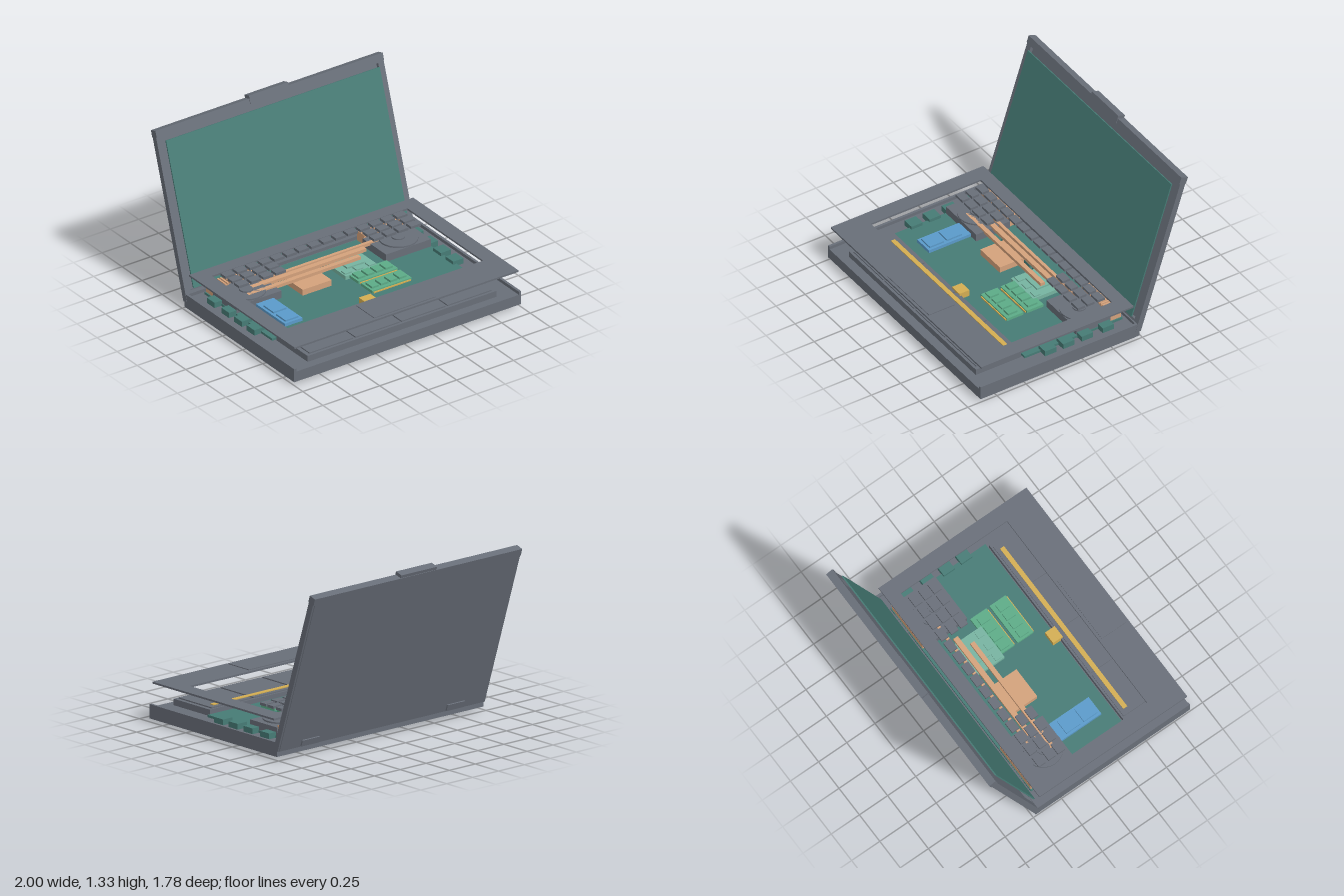
import * as THREE from 'three';

const mat = (name, color) => Object.assign(new THREE.MeshStandardMaterial({ color }), { name });
const grey = mat('casing grey', 0x686e78);
const teal = mat('board teal', 0x467b75);
const copper = mat('copper', 0xd3a17b);
const blue = mat('drive blue', 0x5a9aca);
const green = mat('memory green', 0x5cab87);
const mint = mat('chip mint', 0x76b3a0);
const yellow = mat('contact yellow', 0xd3ad52);

// Box given by its limits on each axis
function box(parent, name, m, [x0, x1], [y0, y1], [z0, z1]) {
  const mesh = new THREE.Mesh(new THREE.BoxGeometry(x1 - x0, y1 - y0, z1 - z0), m);
  mesh.position.set((x0 + x1) / 2, (y0 + y1) / 2, (z0 + z1) / 2);
  mesh.name = name;
  parent.add(mesh);
  return mesh;
}

function group(parent, name) {
  const g = new THREE.Group();
  g.name = name;
  parent.add(g);
  return g;
}

// Rectangular frame in the xy plane, extruded along z
function frame(name, [x0, x1, y0, y1], [a0, a1, b0, b1], depth) {
  const rect = (T, l, r, b, t) => {
    const p = new T();
    p.moveTo(l, b); p.lineTo(r, b); p.lineTo(r, t); p.lineTo(l, t); p.closePath();
    return p;
  };
  const s = rect(THREE.Shape, x0, x1, y0, y1);
  s.holes.push(rect(THREE.Path, a0, a1, b0, b1));
  const mesh = new THREE.Mesh(new THREE.ExtrudeGeometry(s, { depth, bevelEnabled: false }), grey);
  mesh.name = name;
  return mesh;
}

function buildBase(root) {
  const g = group(root, 'base');
  box(g, 'tray', grey, [-0.998, 0.998], [0.025, 0.107], [-0.478, 0.89]);
  box(g, 'rearWall', grey, [-0.978, 0.978], [0.107, 0.132], [-0.478, -0.45]);
  for (const s of [-1, 1]) {
    const side = (a, b) => (s > 0 ? [a, b] : [-b, -a]);
    box(g, 'sideWall', grey, side(0.978, 0.998), [0.107, 0.132], [-0.478, 0.89]);
    for (const z of [[0.715, 0.78], [-0.365, -0.3]]) box(g, 'foot', grey, side(0.72, 0.895), [0, 0.025], z);
    for (const z of [0.235, 0.08, -0.08, -0.26])
      box(g, 'port', teal, side(0.83, 0.92), [0.107, 0.15], [z - 0.048, z + 0.048]);
  }
}

function buildBattery(root) {
  const g = group(root, 'battery');
  box(g, 'batteryBody', grey, [-0.83, 0.83], [0.107, 0.155], [0.43, 0.82]);
  for (let i = 0; i < 4; i++) {
    const x = -0.8 + i * 0.405;
    box(g, 'batteryCell', grey, [x, x + 0.385], [0.155, 0.164], [0.445, 0.8]);
  }
  box(g, 'batteryStrip', yellow, [-0.755, 0.755], [0.164, 0.17], [0.475, 0.51]);
  box(g, 'batteryConnector', yellow, [-0.055, 0.045], [0.12, 0.176], [0.36, 0.445]);
}

function buildBoard(root) {
  const g = group(root, 'mainboard');
  box(g, 'board', teal, [-0.86, 0.86], [0.107, 0.125], [-0.42, 0.42]);

  // Storage drive
  box(g, 'drive', blue, [-0.685, -0.53], [0.125, 0.15], [-0.03, 0.33]);
  for (const z of [[0.035, 0.16], [0.19, 0.31]]) box(g, 'driveChip', blue, [-0.665, -0.55], [0.15, 0.163], z);

  // Memory modules
  for (const z of [-0.01, 0.16]) {
    box(g, 'memory', green, [0.105, 0.45], [0.13, 0.152], [z, z + 0.142]);
    box(g, 'memoryContacts', yellow, [0.115, 0.44], [0.132, 0.142], [z + 0.142, z + 0.15]);
    for (let i = 0; i < 4; i++) {
      const x = 0.122 + i * 0.08;
      box(g, 'memoryChip', green, [x, x + 0.062], [0.152, 0.168], [z + 0.035, z + 0.115]);
    }
  }

  // Graphics chip and its surrounding small chips
  box(g, 'graphicsPlate', mint, [0.07, 0.36], [0.125, 0.155], [-0.23, 0.02]);
  box(g, 'graphicsCore', mint, [0.14, 0.29], [0.155, 0.168], [-0.19, -0.06]);
  for (const x of [0.08, 0.18, 0.29]) box(g, 'graphicsMemory', mint, [x, x + 0.06], [0.155, 0.165], [-0.05, 0]);
  for (let i = 0; i < 7; i++)
    box(g, 'regulator', teal, [-0.36 + i * 0.1, -0.29 + i * 0.1], [0.125, 0.15], [-0.23, -0.18]);
}

function buildCooling(root) {
  const g = group(root, 'cooling');
  for (const s of [-1, 1]) {
    const side = (a, b) => (s > 0 ? [a, b] : [-b, -a]);
    box(g, 'fanHousing', grey, side(0.46, 0.855), [0.107, 0.185], [-0.32, -0.03]);
    const ring = new THREE.Mesh(new THREE.CylinderGeometry(0.145, 0.145, 0.012, 24), grey);
    ring.position.set(s * 0.67, 0.191, -0.175);
    ring.name = 'fanRing';
    const hub = new THREE.Mesh(new THREE.CylinderGeometry(0.05, 0.05, 0.01, 16), grey);
    hub.position.set(s * 0.67, 0.202, -0.175);
    hub.name = 'fanHub';
    g.add(ring, hub);
    box(g, 'finBlock', copper, side(0.475, 0.85), [0.125, 0.19], [-0.415, -0.325]);
    for (let i = 0; i < 16; i++)
      box(g, 'fin', copper, side(0.475 + i * 0.0241, 0.4885 + i * 0.0241), [0.19, 0.203], [-0.418, -0.322]);
  }
  box(g, 'processorPlate', copper, [-0.315, -0.06], [0.125, 0.172], [-0.2, 0.03]);
  // Heat pipes: x limits, z limits
  const pipes = [[[-0.6, 0.65], [-0.25, -0.225]], [[-0.7, 0.385], [-0.208, -0.168]], [[-0.7, 0.285], [-0.13, -0.095]]];
  for (const [x, z] of pipes) box(g, 'heatPipe', copper, x, [0.172, 0.197], z);
}

function buildDeck(root) {
  const g = group(root, 'keyboardDeck');
  const plate = frame('deckFrame', [-0.985, 0.985, -0.875, 0.435], [-0.86, 0.86, -0.612, 0.33], 0.014);
  plate.rotation.x = -Math.PI / 2;
  plate.position.y = 0.286;
  g.add(plate);
  box(g, 'trackpad', grey, [-0.27, 0.27], [0.3, 0.306], [0.635, 0.855]);
  // Full back row; the two nearer rows keep only the outer keys
  [-0.277, -0.19, -0.107].forEach((z, row) => {
    for (let i = -7; i <= 7; i++) {
      if (row > 0 && Math.abs(i) < 4) continue;
      const x = i * 0.108;
      box(g, 'key', grey, [x - 0.044, x + 0.044], [0.292, 0.312], [z - 0.031, z + 0.031]);
    }
  });
}

function buildLid(root) {
  const g = group(root, 'lid');
  g.position.set(0, 0.06, -0.495);
  g.rotation.x = -Math.PI / 10;
  box(g, 'lidBack', grey, [-0.985, 0.985], [0.005, 1.24], [0.004, 0.03]);
  const bezel = frame('lidBezel', [-1, 1, 0, 1.24], [-0.95, 0.95, 0.075, 1.225], 0.046);
  bezel.position.z = 0.009;
  g.add(bezel);
  box(g, 'lidTopCap', grey, [-1, 1], [1.235, 1.29], [0.003, 0.062]);
  box(g, 'cameraTab', grey, [-0.175, 0.17], [1.25, 1.314], [0.007, 0.067]);
  box(g, 'screen', teal, [-0.94, 0.94], [0.09, 1.202], [0.074, 0.084]);
  for (const x of [-0.7, 0.7]) box(g, 'hingeCover', grey, [x - 0.085, x + 0.085], [0.01, 0.06], [-0.006, 0.03]);

  // Hinge blocks stand on the rear edge of the tray
  for (const x of [-0.7, 0.7])
    box(root, 'hinge', grey, [x - 0.085, x + 0.085], [0.11, 0.175], [-0.475, -0.432]);
}

export function createModel() {
  const root = new THREE.Group();
  root.name = 'openLaptop';
  buildBase(root);
  buildBattery(root);
  buildBoard(root);
  buildCooling(root);
  buildDeck(root);
  buildLid(root);
  return root;
}
